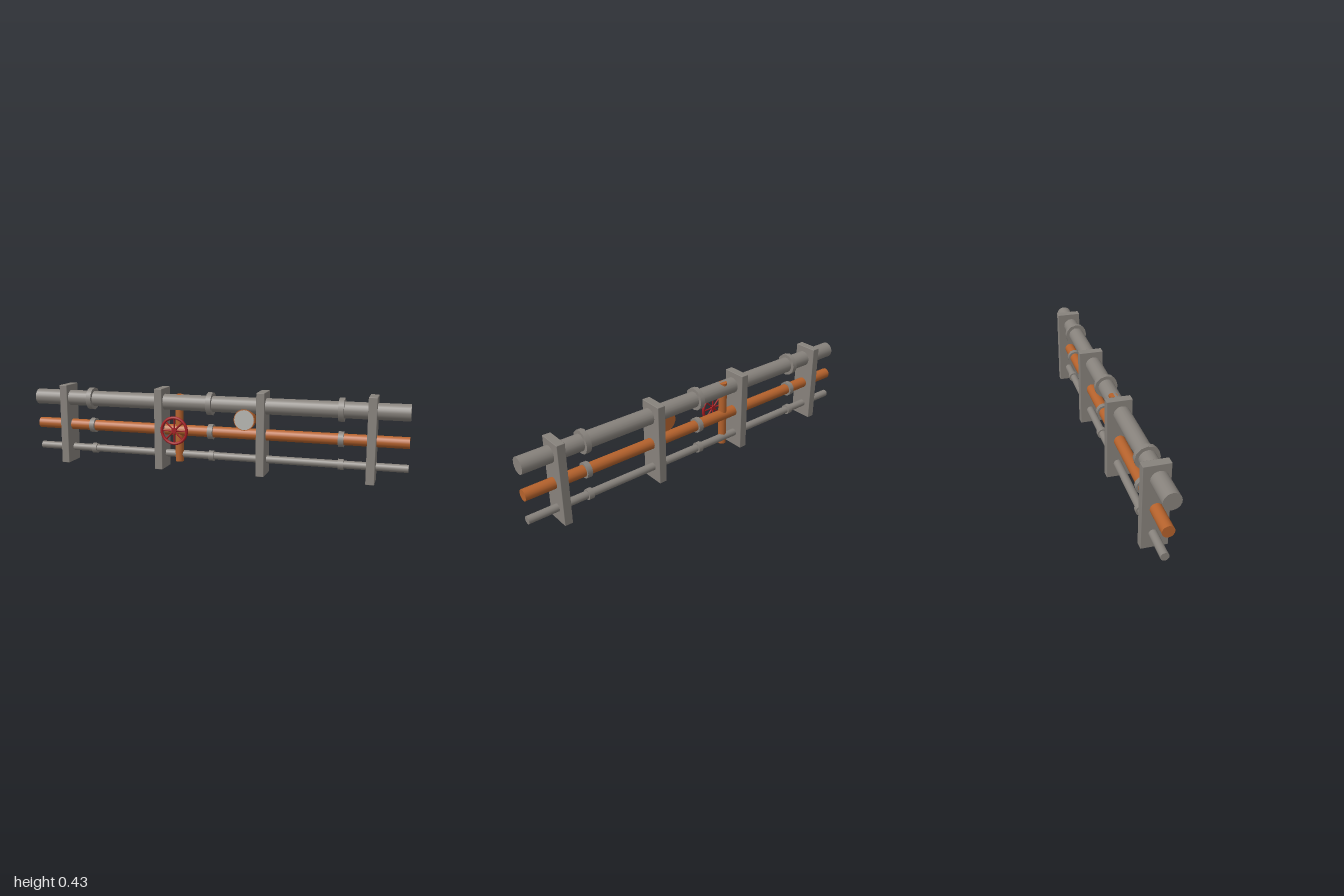
import * as THREE from 'three';
import { RoundedBoxGeometry } from 'three/addons/geometries/RoundedBoxGeometry.js';

const mat = (name, color) => {
  const m = new THREE.MeshStandardMaterial({ color });
  m.name = name;
  return m;
};

export function createModel() {
  const model = new THREE.Group();
  model.name = 'pipeRack';
  const steel = mat('grey steel', 0x87827c);
  const copper = mat('copper orange', 0xb5622c);
  const red = mat('valve red', 0xa51c22);
  const dial = mat('dial light grey', 0xb6b6b2);

  const add = (parent, name, geometry, material, x, y, z) => {
    const mesh = new THREE.Mesh(geometry, material);
    mesh.name = name;
    mesh.position.set(x, y, z);
    parent.add(mesh);
    return mesh;
  };
  const rod = (r, length, sides, axis) => {
    const g = new THREE.CylinderGeometry(r, r, length, sides);
    if (axis === 'x') g.rotateZ(Math.PI / 2);
    if (axis === 'z') g.rotateX(Math.PI / 2);
    return g;
  };

  // Three long pipes, each with three collars
  const pipes = [
    { name: 'largePipe', y: 0.357, z: 0, r: 0.042, collar: 0.06, material: steel },
    { name: 'middlePipe', y: 0.208, z: -0.01, r: 0.029, collar: 0.04, material: copper },
    { name: 'smallPipe', y: 0.078, z: -0.02, r: 0.02, collar: 0.028, material: steel },
  ];
  for (const p of pipes) {
    add(model, p.name, rod(p.r, 2, 20, 'x'), p.material, 0, p.y, p.z);
    for (const x of [-0.673, 0, 0.673]) {
      add(model, p.name + 'Collar', rod(p.collar, 0.027, 12, 'x'), steel, x, p.y, p.z);
    }
  }

  // Upright brackets
  for (const x of [-0.823, -0.274, 0.274, 0.823]) {
    add(model, 'bracket', new RoundedBoxGeometry(0.043, 0.43, 0.128, 1, 0.003), steel, x, 0.215, -0.011);
  }

  // Vertical branch pipe
  add(model, 'branchPipe', rod(0.022, 0.358, 16), copper, -0.176, 0.219, -0.01);

  // Handwheel with hub and spokes
  const wheel = new THREE.Group();
  wheel.name = 'handwheel';
  wheel.position.set(-0.178, 0.217, 0.069);
  model.add(wheel);
  add(wheel, 'wheelRim', new THREE.TorusGeometry(0.068, 0.0078, 10, 32), red, 0, 0, 0);
  add(wheel, 'wheelHub', rod(0.014, 0.014, 16, 'z'), red, 0, 0, 0);
  for (let i = 0; i < 4; i++) {
    const spoke = add(wheel, 'wheelSpoke', rod(0.0042, 0.134, 8), red, 0, 0, 0);
    spoke.rotation.z = (i * Math.PI) / 4;
  }

  // Gauge: round case with a pale face
  add(model, 'gaugeCase', rod(0.055, 0.04, 24, 'z'), copper, 0.188, 0.287, 0.02);
  add(model, 'gaugeFace', rod(0.051, 0.003, 24, 'z'), dial, 0.188, 0.287, 0.041);

  return model;
}
